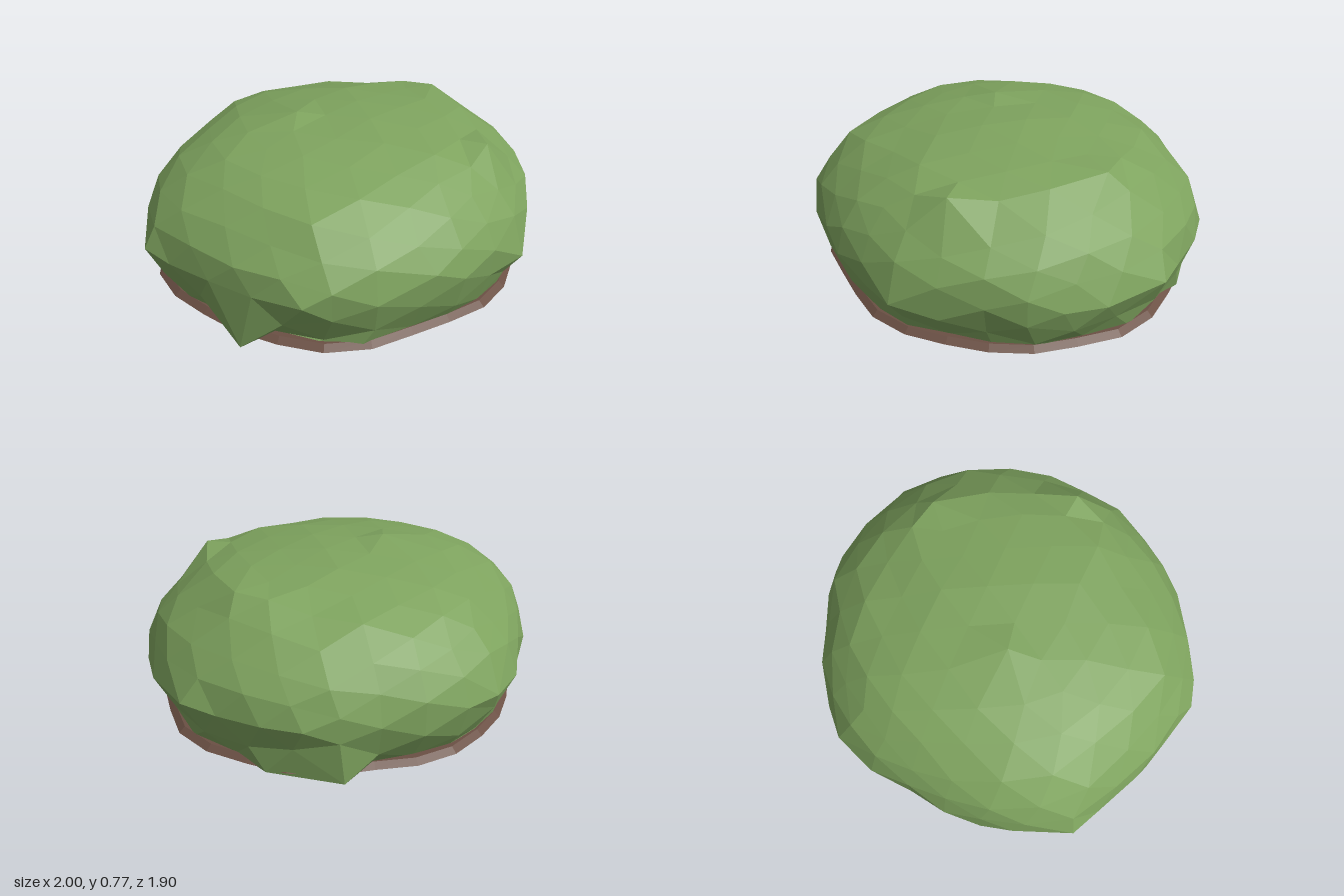
import * as THREE from 'three';
import { mergeVertices } from 'three/addons/utils/BufferGeometryUtils.js';

// Irregular outline seen from above, as [x, z]
const OUTLINE = [
  [0.99, 0.03], [0.99, 0.14], [0.94, 0.3], [0.74, 0.65], [0.53, 0.78], [0.2, 0.95], [-0.34, 0.89],
  [-0.84, 0.59], [-0.95, 0.28], [-1, 0], [-1, -0.28], [-0.93, -0.42], [-0.7, -0.66], [-0.43, -0.82],
  [0.03, -0.95], [0.27, -0.9], [0.55, -0.74], [0.78, -0.56], [0.92, -0.28],
].map(([x, z]) => ({ a: (Math.atan2(z, x) + 2 * Math.PI) % (2 * Math.PI), r: Math.hypot(x, z) }));

// Side profile as [elevation in degrees, share of the outline, height]
const PROFILE = [
  [-21, 0.885, 0.05], [-10, 0.96, 0.17], [0, 1, 0.29], [12, 0.965, 0.41], [25, 0.89, 0.51],
  [38, 0.765, 0.615], [52, 0.6, 0.69], [70, 0.32, 0.745], [90, 0, 0.765],
];

// Outline radius in the direction of a point
function outlineRadius(x, z) {
  const turn = (v) => (v + 2 * Math.PI) % (2 * Math.PI);
  const a = turn(Math.atan2(z, x));
  const i = Math.max(0, OUTLINE.findIndex((p) => p.a > a));
  const p = OUTLINE[(i + OUTLINE.length - 1) % OUTLINE.length], q = OUTLINE[i];
  return THREE.MathUtils.lerp(p.r, q.r, turn(a - p.a) / turn(q.a - p.a));
}

// Share of the outline and height at an elevation
function profileAt(degrees) {
  const i = Math.max(1, PROFILE.findIndex((p) => p[0] >= degrees));
  const p = PROFILE[i - 1], q = PROFILE[i];
  const t = THREE.MathUtils.clamp((degrees - p[0]) / (q[0] - p[0]), 0, 1);
  return [THREE.MathUtils.lerp(p[1], q[1], t), THREE.MathUtils.lerp(p[2], q[2], t)];
}

function makeRandom(seed) {
  return () => {
    seed = (seed * 16807) % 2147483647;
    return seed / 2147483647;
  };
}

// Leafy dome: a faceted ball reshaped by the profile, open below and roughened
function foliageGeometry() {
  const ball = new THREE.IcosahedronGeometry(1, 4);
  ball.deleteAttribute('normal');
  ball.deleteAttribute('uv');
  const geo = mergeVertices(ball, 1e-3);
  const pos = geo.attributes.position;
  const random = makeRandom(71);
  const ridge = new THREE.Line3(new THREE.Vector3(0.66, 0, -0.1), new THREE.Vector3(0.28, 0, 0.65));
  const near = new THREE.Vector3();
  const points = [], cut = [];
  for (let i = 0; i < pos.count; i++) {
    const d = new THREE.Vector3().fromBufferAttribute(pos, i);
    const degrees = THREE.MathUtils.radToDeg(Math.asin(THREE.MathUtils.clamp(d.y, -1, 1)));
    cut[i] = degrees < -21;
    const [share, height] = profileAt(degrees);
    const flat = Math.hypot(d.x, d.z) || 1e-6;
    const r = share * outlineRadius(d.x, d.z) * (1 - 0.03 * random());
    const p = new THREE.Vector3((d.x / flat) * r, 0, (d.z / flat) * r);
    // Raised crease on the left shoulder
    const gap = ridge.closestPointToPoint(p, true, near).distanceTo(p);
    const lift = degrees > 20 ? 0.03 * Math.exp(-gap * gap / 0.015) : 0;
    p.y = height + lift + (random() - 0.5) * 0.02;
    points.push(p);
  }

  // Leave the underside open where the soil covers it
  const faces = [];
  for (let i = 0; i < geo.index.count; i += 3) {
    const f = [0, 1, 2].map((k) => geo.index.getX(i + k));
    if (!f.every((v) => cut[v])) faces.push(...f);
  }
  geo.setIndex(faces);

  // Peaks, shoulders and drooping tips
  const tips = [
    [-0.2, 0.775, -0.1], [0.65, 0.71, 0.05], [0.28, 0.685, 0.66], [1, 0.3, 0.05], [-1, 0.3, -0.28],
    [0.2, 0.24, 0.95], [0.03, 0.3, -0.95], [-0.84, 0.3, 0.57], [-0.34, 0.36, 0.87],
    [-0.93, 0, 0.27], [0.66, 0, -0.6], [0.84, 0.02, -0.3], [-0.6, 0.02, 0.67],
  ];
  const free = new Set(faces);
  for (const t of tips) {
    const target = new THREE.Vector3(...t);
    let best = faces[0], least = Infinity;
    for (const v of free) {
      const gap = points[v].distanceTo(target);
      if (gap < least) [best, least] = [v, gap];
    }
    points[best].copy(target);
    free.delete(best);
  }
  points.forEach((p, i) => pos.setXYZ(i, p.x, p.y, p.z));

  const out = geo.toNonIndexed();
  out.computeVertexNormals();
  return out;
}

// Thin uneven soil disc under the foliage
function soilGeometry() {
  const geo = new THREE.CylinderGeometry(0.89, 0.92, 0.025, 28);
  const pos = geo.attributes.position;
  for (let i = 0; i < pos.count; i++) {
    const x = pos.getX(i), z = pos.getZ(i);
    if (Math.hypot(x, z) < 0.1) continue;
    const a = Math.atan2(z, x);
    const k = outlineRadius(x, z) * (1 + 0.01 * Math.sin(a * 9) + 0.008 * Math.cos(a * 5));
    pos.setX(i, x * k);
    pos.setZ(i, z * k);
  }
  geo.translate(0, 0.043, 0);
  return geo;
}

export function createModel() {
  const leafGreen = new THREE.MeshStandardMaterial({ color: 0x7ea35e, flatShading: true, side: THREE.DoubleSide });
  leafGreen.name = 'leafGreen';
  const soilBrown = new THREE.MeshStandardMaterial({ color: 0x6b5044, flatShading: true });
  soilBrown.name = 'soilBrown';

  const group = new THREE.Group();
  group.name = 'bush';
  const foliage = new THREE.Mesh(foliageGeometry(), leafGreen);
  foliage.name = 'foliage';
  const soil = new THREE.Mesh(soilGeometry(), soilBrown);
  soil.name = 'soilBase';
  group.add(foliage, soil);
  return group;
}
